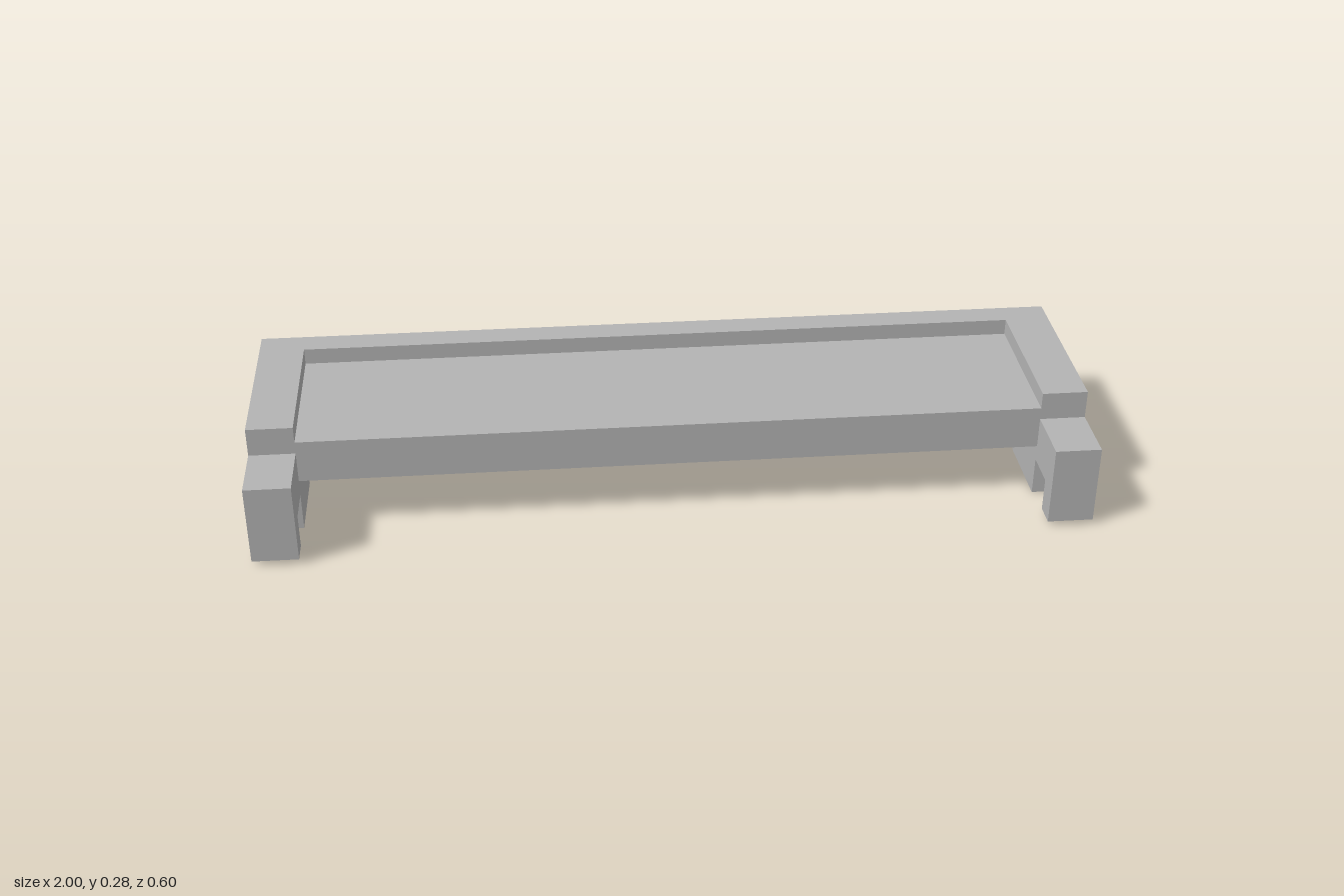
import * as THREE from 'three';

// Extrudes a [z, y] outline along x, from xMin to xMax.
function extrudeAlongX(name, outline, xMin, xMax, material) {
  const shape = new THREE.Shape(outline.map(([z, y]) => new THREE.Vector2(z, y)));
  const geometry = new THREE.ExtrudeGeometry(shape, { depth: xMax - xMin, bevelEnabled: false });
  geometry.rotateY(-Math.PI / 2);
  geometry.translate(xMax, 0, 0);
  const mesh = new THREE.Mesh(geometry, material);
  mesh.name = name;
  return mesh;
}

export function createModel() {
  const group = new THREE.Group();
  group.name = 'tray';
  const grey = new THREE.MeshStandardMaterial({ color: 0xb3b3b3 });
  grey.name = 'grey';

  const inner = 0.89;
  const back = -0.298;
  const front = 0.298;
  const deckFront = 0.147;

  // End bracket: raised rim, foot block and a hooked front arm
  const bracket = [
    [back, 0.083], [-0.052, 0.083], [-0.052, 0], [deckFront, 0],
    [deckFront, 0.095], [0.241, 0.095], [0.241, 0.013], [front, 0.013],
    [front, 0.21], [deckFront, 0.21], [deckFront, 0.28], [back, 0.28],
  ];
  group.add(extrudeAlongX('leftBracket', bracket, inner, 1, grey));
  group.add(extrudeAlongX('rightBracket', bracket, -1, -inner, grey));

  // Middle section: back rim, sunken deck and a rib beneath it
  const deck = [
    [back, 0.133], [-0.232, 0.133], [-0.232, 0.083], [-0.167, 0.083],
    [-0.167, 0.133], [deckFront, 0.133], [deckFront, 0.24],
    [-0.232, 0.24], [-0.232, 0.28], [back, 0.28],
  ];
  group.add(extrudeAlongX('deck', deck, -inner, inner, grey));

  return group;
}
